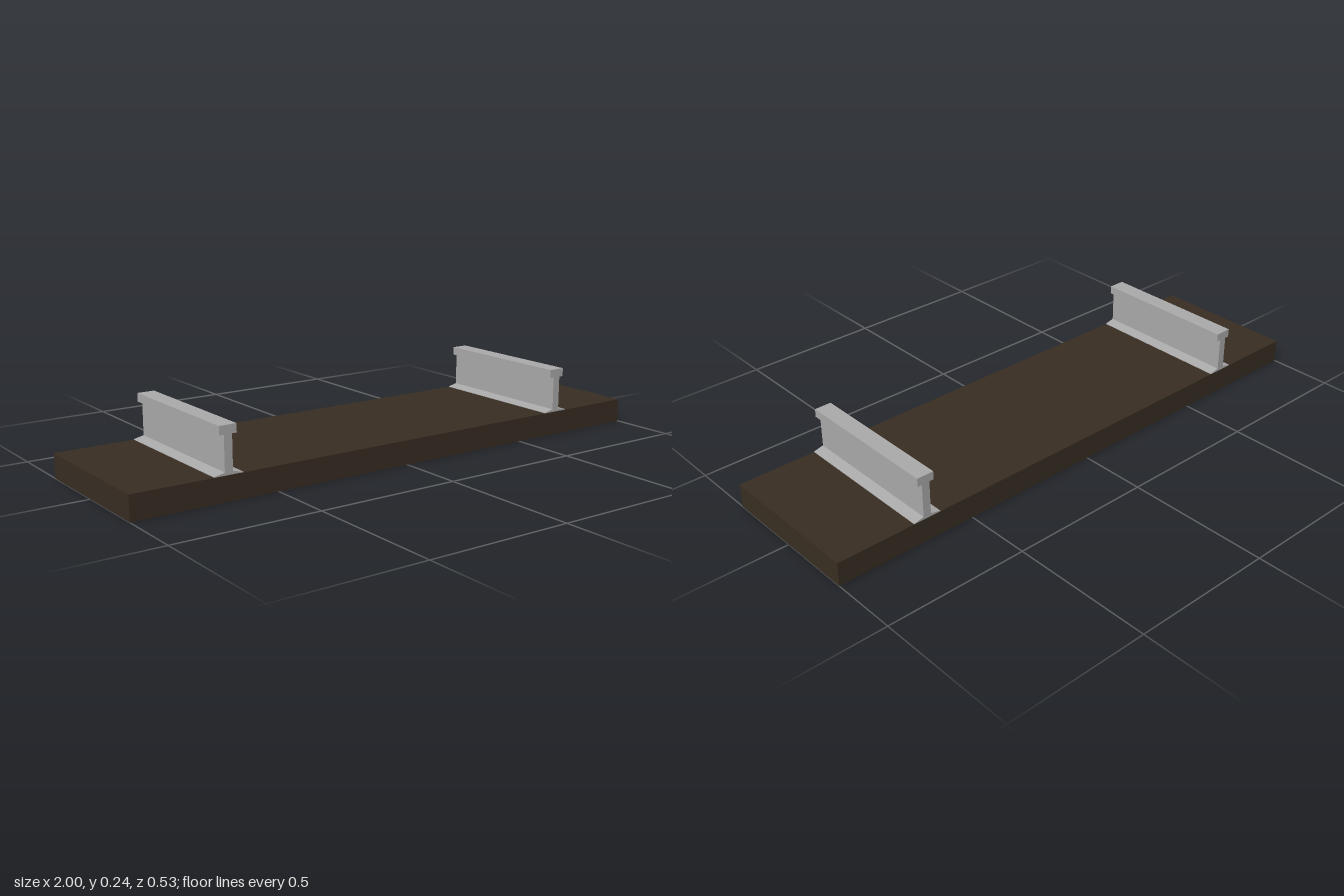
import * as THREE from 'three';

const LENGTH = 0.533;
const BASE_TOP = 0.083;

// Half of the rail section: [offset from rail centre, height]
const HALF_PROFILE = [
  [0.05, BASE_TOP],
  [0.05, BASE_TOP + 0.002],
  [0.014, 0.093],
  [0.014, 0.209],
  [0.03, 0.209],
  [0.03, 0.238],
];

function railGeometry() {
  const mirrored = HALF_PROFILE.map(([x, y]) => [-x, y]).reverse();
  const shape = new THREE.Shape(
    [...HALF_PROFILE, ...mirrored].map(([x, y]) => new THREE.Vector2(x, y))
  );
  const geometry = new THREE.ExtrudeGeometry(shape, { depth: LENGTH, bevelEnabled: false });
  return geometry.translate(0, 0, -LENGTH / 2);
}

export function createModel() {
  const model = new THREE.Group();
  model.name = 'trackSection';

  const wood = new THREE.MeshStandardMaterial({ color: 0x382d22 });
  wood.name = 'dark wood';
  const steel = new THREE.MeshStandardMaterial({ color: 0xa9a9a9 });
  steel.name = 'grey steel';

  // Flat plank carrying the rails
  const sleeper = new THREE.Mesh(new THREE.BoxGeometry(2, BASE_TOP, LENGTH), wood);
  sleeper.name = 'sleeper';
  sleeper.position.y = BASE_TOP / 2;
  model.add(sleeper);

  // Pair of rails running front to back
  const geometry = railGeometry();
  for (const side of [-1, 1]) {
    const rail = new THREE.Mesh(geometry, steel);
    rail.name = side > 0 ? 'leftRail' : 'rightRail';
    rail.position.x = side * 0.673;
    model.add(rail);
  }
  return model;
}
